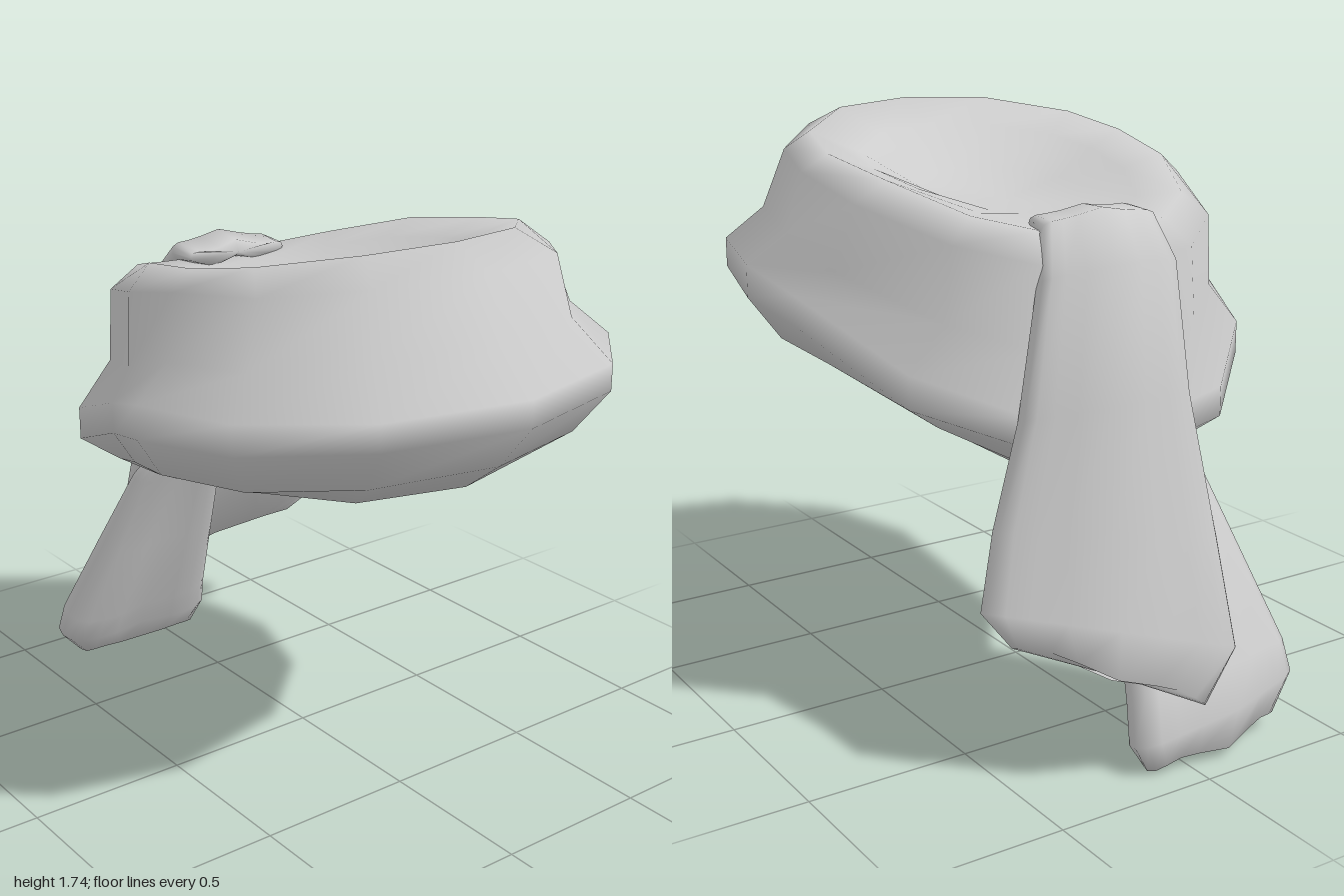
import * as THREE from 'three';
import { mergeVertices } from 'three/addons/utils/BufferGeometryUtils.js';

// Skin a list of equal-length closed rings, ordered from top to bottom
function loft(rings) {
  const m = rings[0].length, pos = [], index = [];
  rings.forEach((ring) => ring.forEach((p) => pos.push(p.x, p.y, p.z)));
  for (let i = 0; i < rings.length - 1; i++) {
    for (let j = 0; j < m; j++) {
      const a = i * m + j, b = i * m + (j + 1) % m;
      index.push(a, a + m, b, b, a + m, b + m);
    }
  }
  let geo = new THREE.BufferGeometry();
  geo.setAttribute('position', new THREE.Float32BufferAttribute(pos, 3));
  geo.setIndex(index);
  geo = mergeVertices(geo, 1e-4);
  geo.computeVertexNormals();
  return geo;
}

// Half ring, front to back on the +x side, mirrored into a full ring
function mirrorRing(half) {
  const pts = half.map(([x, y, z]) => new THREE.Vector3(x, y, z));
  const other = pts.slice(1, -1).reverse().map((p) => new THREE.Vector3(-p.x, p.y, p.z));
  return [...pts, ...other];
}

// Shrink a ring towards its middle and shift it vertically
function inset(ring, scale, dy) {
  const c = ring.reduce((s, p) => s.add(p), new THREE.Vector3()).divideScalar(ring.length);
  return ring.map((p) => p.clone().sub(c).multiplyScalar(scale).add(c).add(new THREE.Vector3(0, dy, 0)));
}

// Shrink a ring sideways while blending its height towards a slightly tilted floor
function sink(ring, scale, floor, blend) {
  const flat = inset(ring, scale, 0);
  return flat.map((p, i) => p.setY(THREE.MathUtils.lerp(ring[i].y, floor + .08 * p.z, blend)));
}

function collarGeometry() {
  const outline = [[0, .995], [.42, .88], [.69, .61], [.77, .28], [.72, .07], [.585, -.36], [.32, -.61], [0, -.65]];
  const belt = (ys) => mirrorRing(outline.map(([x, z], i) => [x, ys[i], z]));
  const rim = mirrorRing([[0, 1.74, .68], [.27, 1.73, .62], [.48, 1.69, .42], [.53, 1.65, .2],
    [.49, 1.605, -.08], [.37, 1.53, -.34], [.21, 1.49, -.46], [0, 1.47, -.5]]);
  const shoulder = mirrorRing([[0, 1.68, .81], [.33, 1.67, .73], [.53, 1.63, .5], [.61, 1.6, .22],
    [.58, 1.54, -.05], [.45, 1.46, -.37], [.26, 1.41, -.53], [0, 1.39, -.57]]);
  const waist = mirrorRing([[0, 1.5, .87], [.36, 1.49, .77], [.59, 1.45, .54], [.65, 1.42, .25],
    [.62, 1.34, 0], [.47, 1.24, -.36], [.27, 1.17, -.54], [0, 1.14, -.58]]);
  const under = mirrorRing([[0, 1.16, .88], [.38, 1.15, .78], [.6, 1.12, .54], [.68, 1.1, .25],
    [.63, 1.06, .03], [.47, .93, -.32], [.28, .83, -.5], [0, .78, -.56]]);
  const hem = mirrorRing([[0, 1.06, .75], [.32, 1.06, .66], [.5, 1.07, .46], [.57, 1.05, .22],
    [.53, 1.01, -.01], [.38, .88, -.24], [.23, .79, -.37], [0, .71, -.42]]);
  return loft([
    sink(rim, 0, 1.48, 1), sink(rim, .45, 1.5, .9), sink(rim, .75, 1.51, .4), // sunken inside
    rim, shoulder, waist,
    belt([1.38, 1.37, 1.35, 1.33, 1.27, 1.11, 1.0, .95]),
    belt([1.3, 1.29, 1.26, 1.23, 1.18, 1.01, .91, .86]),
    under, hem,
    inset(hem, .85, .02), inset(hem, 0, .03), // underside
  ]);
}

// Cloth strip bowed towards the back; each row is [left xyz, right xyz, thickness]
function tailGeometry(rows, bow, sides = 20) {
  const L = rows.map((r) => new THREE.Vector3(r[0], r[1], r[2]));
  const R = rows.map((r) => new THREE.Vector3(r[3], r[4], r[5]));
  const mid = L.map((p, i) => p.clone().add(R[i]).multiplyScalar(.5));
  const last = rows.length - 1;
  const soft = (v, e) => Math.sign(v) * Math.abs(v) ** e;
  const rings = rows.map((row, i) => {
    const half = L[i].clone().sub(R[i]).multiplyScalar(.5);
    const along = mid[Math.min(i + 1, last)].clone().sub(mid[Math.max(i - 1, 0)]);
    const n = half.clone().cross(along).normalize();
    along.normalize();
    return Array.from({ length: sides }, (_, j) => {
      const a = (j / sides) * Math.PI * 2;
      const u = soft(Math.cos(a), .8), v = soft(Math.sin(a), .6);
      const pleat = (bow * i / last + .012 * Math.cos(u * 5)) * (1 - u * u); // soft folds
      const wave = i === 0 || i === last ? .012 * Math.cos(u * 5) : 0; // wavy ends
      return mid[i].clone().addScaledVector(half, u)
        .addScaledVector(n, v * row[6] / 2 + pleat).addScaledVector(along, wave);
    });
  });
  return loft([inset(rings[0], 0, 0), ...rings, inset(rings[last], 0, 0)]);
}

export function createModel() {
  const group = new THREE.Group();
  const cloth = new THREE.MeshStandardMaterial({ color: 0xcccccc });
  cloth.name = 'greyCloth';
  const add = (name, geo) => {
    const mesh = new THREE.Mesh(geo, cloth);
    mesh.name = name;
    group.add(mesh);
  };

  add('collar', collarGeometry());

  // Tail folded over the back of the collar
  add('upperTail', tailGeometry([
    [.2, 1.5, -.37, -.15, 1.51, -.38, .05],
    [.22, 1.49, -.46, -.14, 1.5, -.5, .09],
    [.27, 1.36, -.52, -.12, 1.4, -.63, .13],
    [.37, 1.0, -.58, -.1, 1.05, -.73, .15],
    [.46, .7, -.59, -.12, .65, -.85, .16],
    [.54, .5, -.655, -.12, .35, -.95, .14],
    [.48, .41, -.72, 0, .215, -.97, .08],
  ], .045));

  // Tail hanging from under the collar
  add('lowerTail', tailGeometry([
    [.04, .92, -.44, -.22, .92, -.42, .07],
    [.05, .76, -.54, -.3, .76, -.52, .08],
    [.08, .5, -.66, -.37, .5, -.63, .14],
    [.14, .2, -.82, -.45, .22, -.75, .17],
    [.165, .08, -.87, -.46, .13, -.78, .16],
    [.12, .0, -.87, -.37, .035, -.82, .1],
  ], .02));
  return group;
}
